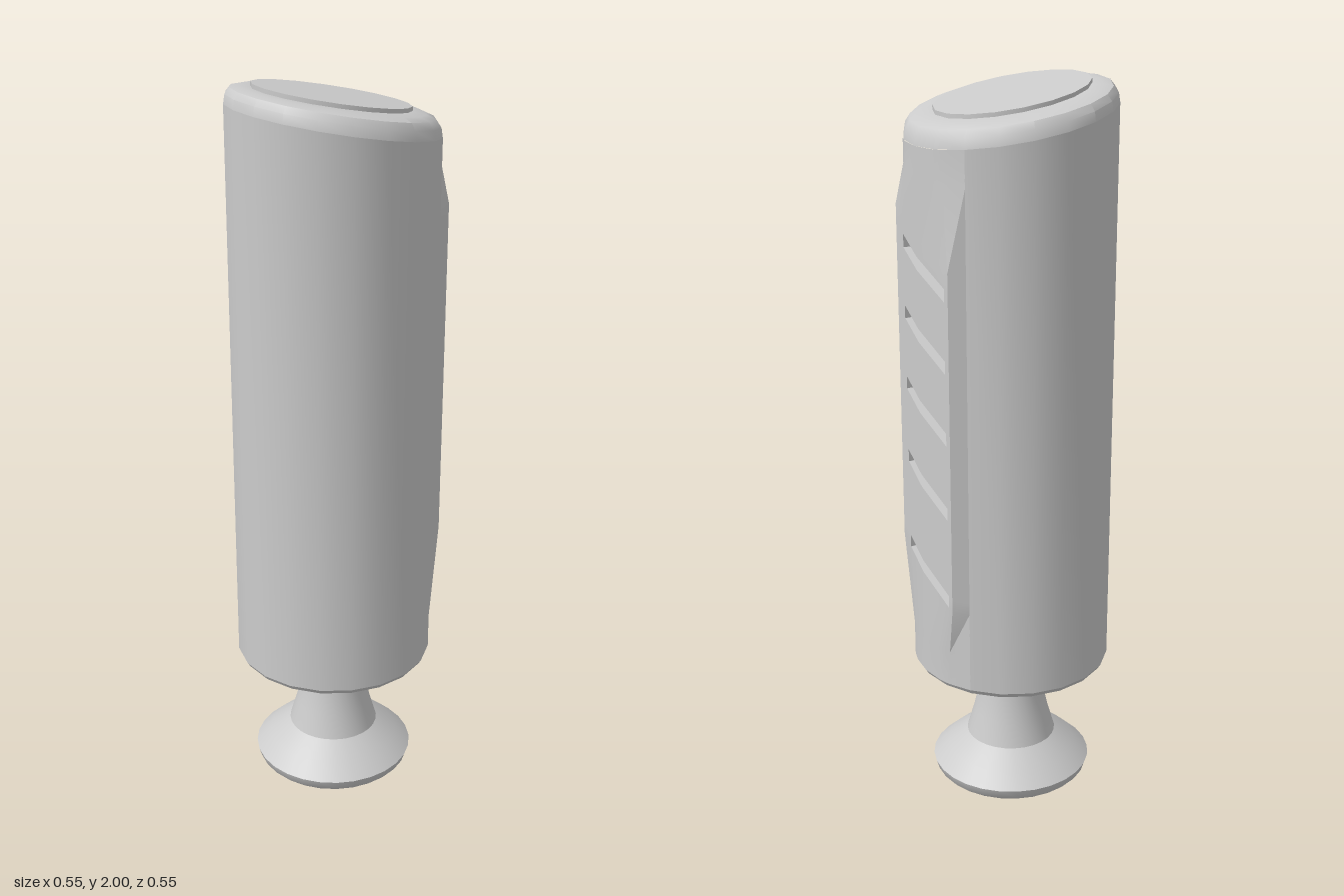
import * as THREE from 'three';
import { toCreasedNormals } from 'three/addons/utils/BufferGeometryUtils.js';

const R = 0.277;        // body radius
const TILT = -0.18;     // slope of the top along x
const GROOVE_X = 0.24;  // depth of the groove floors

const lerp = THREE.MathUtils.lerp;
const material = new THREE.MeshStandardMaterial({ color: 0xcccccc });

function addMesh(group, name, geometry, crease = 0.6) {
  const mesh = new THREE.Mesh(toCreasedNormals(geometry, crease), material);
  mesh.name = name;
  group.add(mesh);
}

function lathe(points, segments, start = 0, length = Math.PI * 2) {
  return new THREE.LatheGeometry(points.map(p => new THREE.Vector2(...p)), segments, start, length);
}

// Shear vertices above minY so they follow the slanted top
function slant(geometry, minY = 1) {
  const p = geometry.attributes.position;
  for (let i = 0; i < p.count; i++) {
    if (p.getY(i) > minY) p.setY(i, p.getY(i) + TILT * p.getX(i));
  }
  return geometry;
}

// Raised grip panel on the +x side, with sloping grooves sunk into it
function gripPanel() {
  const cols = [0.163, 0.137, 0.09, 0, -0.09, -0.125, -0.142, -0.163];
  const firstGroove = 2, lastGroove = 4;

  // Rows from bottom to top: level, sideways slope, bulge, groove starts here
  const rows = [[0.38, 0, 0], [0.48, 0, 0]];
  for (const top of [0.76, 1.015, 1.225, 1.42, 1.61]) {
    rows.push([top - 0.035, 0.45, 1, true], [top, 0.45, 1]);
  }
  rows.push([1.66, 0.45, 1], [1.79, 0.1, 0], [1.9, 0, 0]);

  const point = (r, c) => {
    const [level, slope, bulge] = rows[r];
    const edge = c === 0 || c === cols.length - 1;
    const z = edge ? cols[c] : cols[c] * lerp(0.75, 1, bulge);
    const round = Math.sqrt(R * R - z * z);
    const x = edge ? round : lerp(round, lerp(R, 0.265, Math.abs(z) / 0.14), bulge);
    let y = level + slope * (z - 0.09);
    if (r === rows.length - 1) y += TILT * x;
    return [x, y, z];
  };

  const pos = [];
  const quad = (a, b, c, d) => pos.push(...a, ...b, ...c, ...a, ...c, ...d);
  const sink = p => [GROOVE_X, p[1], p[2]];

  for (let r = 0; r < rows.length - 1; r++) {
    for (let c = 0; c < cols.length - 1; c++) {
      const q = [point(r, c), point(r, c + 1), point(r + 1, c + 1), point(r + 1, c)];
      if (!rows[r][3] || c < firstGroove || c > lastGroove) {
        quad(...q);
        continue;
      }
      // Groove floor and walls
      const f = q.map(sink);
      quad(...f);
      quad(q[0], q[1], f[1], f[0]);
      quad(f[3], f[2], q[2], q[3]);
      if (c === firstGroove) quad(q[0], f[0], f[3], q[3]);
      if (c === lastGroove) quad(f[1], q[1], q[2], f[2]);
    }
  }
  const g = new THREE.BufferGeometry();
  g.setAttribute('position', new THREE.Float32BufferAttribute(pos, 3));
  return g;
}

export function createModel() {
  const model = new THREE.Group();
  model.name = 'model';

  // Flared foot and stem
  addMesh(model, 'footAndStem', lathe([
    [0, 0], [0.21, 0], [0.22, 0.01], [0.228, 0.035], [0.185, 0.075],
    [0.128, 0.115], [0.108, 0.185], [0.088, 0.27], [0.08, 0.375],
  ], 28));

  // Body: underside, wall left open at the grip, rounded slanted top
  const body = new THREE.Group();
  body.name = 'body';
  model.add(body);
  addMesh(body, 'underside', lathe([[0, 0.366], [0.268, 0.366], [R, 0.38]], 20));
  addMesh(body, 'wall', slant(lathe([[R, 0.38], [R, 1.9]], 16, Math.PI * 0.7, Math.PI * 1.6)));
  addMesh(body, 'topRim', slant(lathe([
    [R, 1.9], [0.273, 1.925], [0.26, 1.943], [0.235, 1.951], [0.2, 1.952], [0, 1.952],
  ], 20)));
  addMesh(body, 'gripPanel', gripPanel(), 0.45);

  // Raised disc on the top
  const disc = new THREE.CylinderGeometry(0.207, 0.207, 0.022, 18);
  disc.scale(1, 1, 0.92);
  disc.translate(-0.004, 1.952, 0);
  addMesh(model, 'topDisc', slant(disc));

  return model;
}
